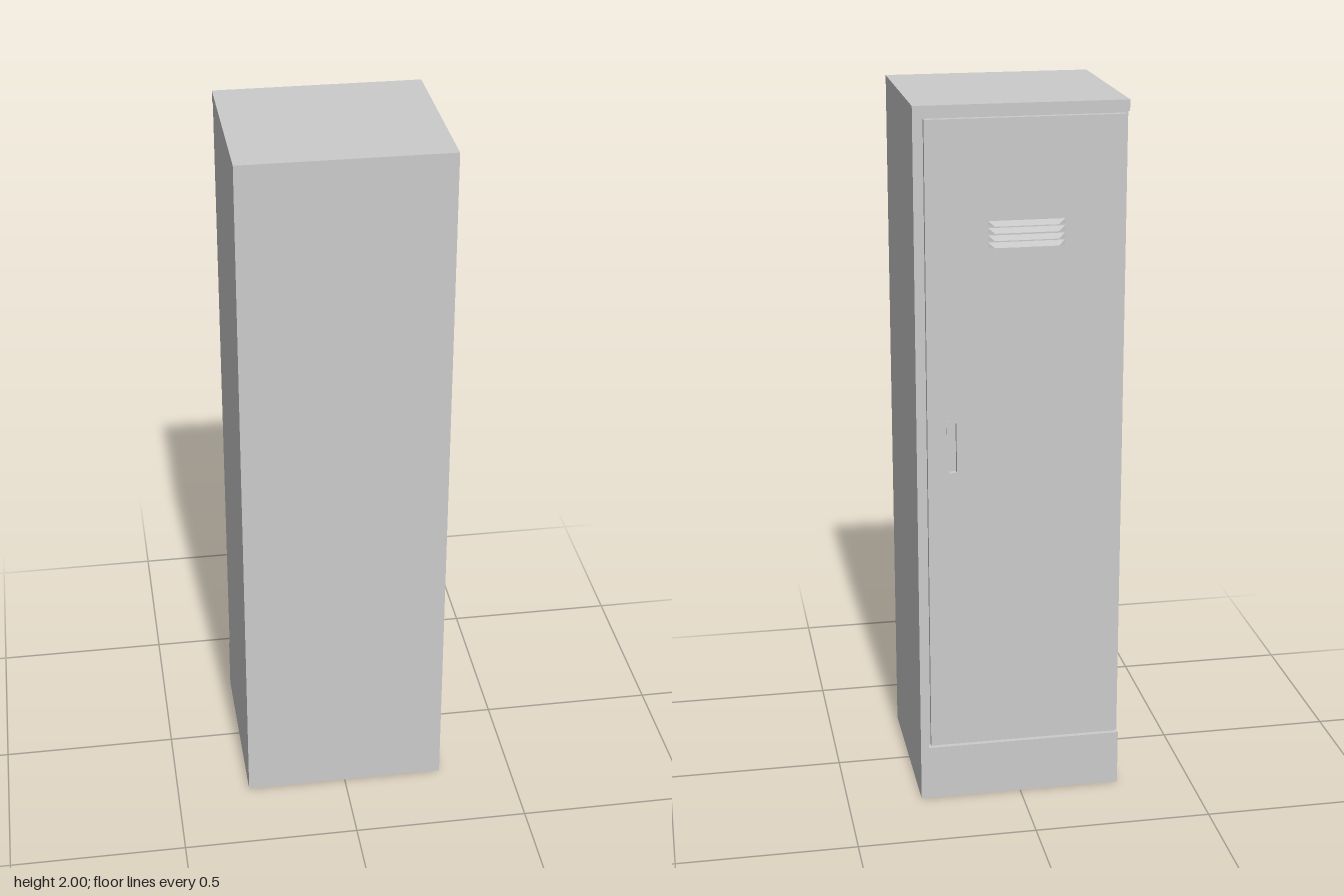
import * as THREE from 'three';

const BACK = -0.262;    // plane of the door face
const RECESS = -0.242;  // plane behind the door
const FRONT = 0.268;
const W = 0.289;        // half width

function polygon(points, Type = THREE.Shape) {
  return new Type(points.map(([x, y]) => new THREE.Vector2(x, y)));
}

function rect(x0, x1, y0, y1, Type = THREE.Shape) {
  return polygon([[x0, y0], [x1, y0], [x1, y1], [x0, y1]], Type);
}

// Extrudes a shape between two z planes
function slab(shape, z0, z1) {
  const g = new THREE.ExtrudeGeometry(shape, { depth: z1 - z0, bevelEnabled: false });
  return g.translate(0, 0, z0);
}

// Pressed vent hood: sloping top and two slanted ends, open underneath
function hoodGeometry(height, out) {
  const corners = [
    [0.09, height, 0], [-0.117, height, 0],   // top edge on the door
    [-0.100, 0, -out], [0.073, 0, -out],      // outer lip
    [0.09, 0, 0], [-0.117, 0, 0],             // lower ends on the door
  ];
  const faces = [0, 3, 2, 0, 2, 1, 0, 4, 3, 1, 2, 5];
  const g = new THREE.BufferGeometry();
  g.setAttribute('position', new THREE.Float32BufferAttribute(faces.flatMap(i => corners[i]), 3));
  g.computeVertexNormals();
  return g;
}

export function createModel() {
  const group = new THREE.Group();
  const grey = new THREE.MeshStandardMaterial({ color: 0xcccccc, flatShading: true });
  const thin = new THREE.MeshStandardMaterial({ color: 0xcccccc, flatShading: true, side: THREE.DoubleSide });
  const add = (name, geometry, material = grey, parent = group) => {
    const mesh = new THREE.Mesh(geometry, material);
    mesh.name = name;
    parent.add(mesh);
    return mesh;
  };

  // Cabinet, with a door frame that is open on the hinge side
  add('cabinet', slab(rect(-W, W, 0, 2), RECESS, FRONT));
  add('doorFrame', slab(polygon([
    [-W, 0], [W, 0], [W, 2], [-W, 2],
    [-W, 1.97], [0.266, 1.97], [0.266, 0.16], [-W, 0.16],
  ]), BACK, RECESS));

  // Door with vent slots and a hole for the recessed handle
  const ventRows = [1.618, 1.637, 1.657, 1.676];
  const handle = [0.173, 0.206, 0.985, 1.14];
  const doorShape = rect(-0.281, 0.259, 0.167, 1.963);
  for (const y of ventRows) doorShape.holes.push(rect(-0.1, 0.073, y, y + 0.009, THREE.Path));
  doorShape.holes.push(rect(...handle, THREE.Path));
  const door = new THREE.Group();
  door.name = 'door';
  group.add(door);
  add('doorPanel', slab(doorShape, BACK, -0.245), grey, door);

  // Vent hoods
  const hood = hoodGeometry(0.014, 0.008);
  ventRows.forEach((y, i) => {
    add(`ventHood${i + 1}`, hood, thin, door).position.set(0, y, BACK);
  });

  // Handle: thin rim around a sunken pocket
  const [x0, x1, y0, y1] = handle;
  const rim = rect(x0, x1, y0, y1);
  rim.holes.push(rect(x0 + 0.006, x1 - 0.006, y0 + 0.006, y1 - 0.006, THREE.Path));
  add('handleRim', slab(rim, BACK - 0.001, -0.246), grey, door);
  add('handlePocket', slab(rect(x0, x1, y0, y1), -0.247, -0.243), grey, door);

  return group;
}
